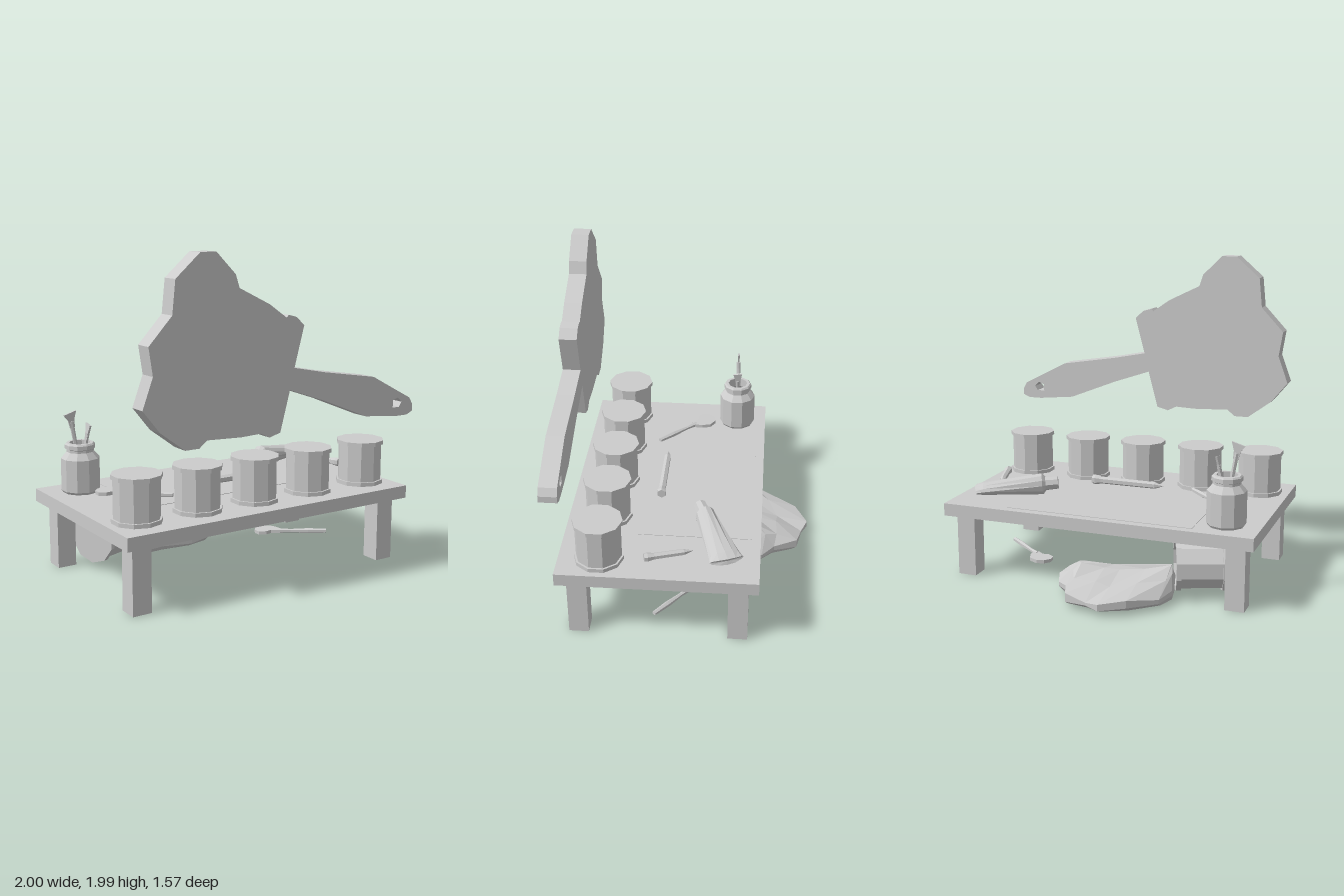
import * as THREE from 'three';

const mat = new THREE.MeshStandardMaterial({ color: 0xcccccc, flatShading: true, side: THREE.DoubleSide });
const V = (x, y, z) => new THREE.Vector3(x, y, z);

function add(parent, name, geo, x = 0, y = 0, z = 0) {
  const m = new THREE.Mesh(geo, mat);
  m.name = name;
  m.position.set(x, y, z);
  parent.add(m);
}

// Group whose local +y runs from one point to another, local +z towards "face"
function aimed(parent, name, from, to, face) {
  const g = new THREE.Group();
  g.name = name;
  const y = to.clone().sub(from).normalize();
  const x = y.clone().cross(face).normalize();
  g.quaternion.setFromRotationMatrix(new THREE.Matrix4().makeBasis(x, y, x.clone().cross(y)));
  g.position.copy(from);
  parent.add(g);
  return g;
}

const lathe = (pts, sides) => new THREE.LatheGeometry(pts.map(p => new THREE.Vector2(...p)), sides);

// Flat outline with thickness, centred in depth
function slab(pts, depth, hole) {
  const s = new THREE.Shape(pts.map(p => new THREE.Vector2(...p)));
  if (hole) s.holes.push(new THREE.Path(hole.map(p => new THREE.Vector2(...p))));
  return new THREE.ExtrudeGeometry(s, { depth, bevelEnabled: false }).translate(0, 0, -depth / 2);
}

// Skin over rings of equal point count, closed by a fan at each end
function loft(rings) {
  const n = rings[0].length, pos = [], idx = [];
  rings.forEach(r => r.forEach(p => pos.push(p.x, p.y, p.z)));
  for (let i = 0; i < rings.length - 1; i++) {
    for (let j = 0; j < n; j++) {
      const a = i * n + j, b = i * n + (j + 1) % n;
      idx.push(a, b, b + n, a, b + n, a + n);
    }
  }
  [rings[0], rings[rings.length - 1]].forEach((r, e) => {
    const c = r.reduce((s, p) => s.add(p), V(0, 0, 0)).divideScalar(n);
    const k = pos.length / 3, o = e * (rings.length - 1) * n;
    pos.push(c.x, c.y, c.z);
    for (let j = 0; j < n; j++) {
      const a = o + j, b = o + (j + 1) % n;
      idx.push(k, e ? a : b, e ? b : a);
    }
  });
  const g = new THREE.BufferGeometry();
  g.setAttribute('position', new THREE.Float32BufferAttribute(pos, 3));
  g.setIndex(idx);
  g.computeVertexNormals();
  return g;
}

// Loose brush with a splayed flat head
function looseBrush(parent, name, from, to) {
  const g = aimed(parent, name, from, to, V(0, 1, 0));
  const head = [[-0.02, 0.17], [-0.055, 0.14], [-0.085, 0.09], [-0.07, 0.03], [-0.03, 0],
    [0.02, 0], [0.055, 0.03], [0.05, 0.08], [0.02, 0.11], [0.02, 0.17]];
  add(g, 'bristles', slab(head, 0.022));
  add(g, 'handle', lathe([[0, 0.15], [0.018, 0.15], [0.012, 0.24], [0.018, 0.36], [0.014, 0.48], [0, 0.48]], 6));
}

// Upright brush with a flared tip
function jarBrush(parent, from, to, face, width) {
  const g = aimed(parent, 'jarBrush', from, to, face);
  const L = from.distanceTo(to);
  add(g, 'handle', new THREE.CylinderGeometry(0.014, 0.01, L - 0.06, 6), 0, (L - 0.06) / 2, 0);
  const head = [[-0.015, L - 0.1], [0.015, L - 0.1], [0.02, L - 0.05], [width / 2, L],
    [-width / 2, L - 0.01], [-0.02, L - 0.05]];
  add(g, 'bristles', slab(head, 0.012));
}

function crayon(parent, from, to, r) {
  const g = aimed(parent, 'crayon', from, to, V(0, 1, 0));
  const L = from.distanceTo(to);
  add(g, 'crayonBody', lathe([[0, 0], [r * 0.75, 0.06], [r * 0.8, L - 0.06], [r * 1.1, L - 0.02], [r, L], [0, L]], 6));
}

export function createModel() {
  const root = new THREE.Group();

  // Table
  const table = new THREE.Group();
  table.name = 'table';
  root.add(table);
  add(table, 'tableTop', new THREE.BoxGeometry(2, 0.08, 1.2), 0, 0.44, 0.13);
  for (const x of [-0.88, 0.88])
    for (const z of [0.61, -0.35]) add(table, 'tableLeg', new THREE.BoxGeometry(0.12, 0.4, 0.12), x, 0.2, z);
  add(root, 'paperSheet', new THREE.BoxGeometry(1.2, 0.004, 0.695), -0.015, 0.481, -0.068);

  // Row of closed paint cans
  const can = lathe([[0, 0], [0.15, 0], [0.15, 0.025], [0.138, 0.025], [0.138, 0.255],
    [0.15, 0.255], [0.15, 0.28], [0, 0.28]], 10);
  for (const x of [-0.805, -0.404, 0, 0.4, 0.82]) add(root, 'paintCan', can, x, 0.48, 0.485);

  // Open can lying under the table
  const fallen = aimed(root, 'fallenCan', V(-0.764, 0.203, -0.174), V(-0.476, 0.203, -0.286), V(0, 1, 0));
  add(fallen, 'openCan', lathe([[0, 0], [0.167, 0], [0.167, 0.03], [0.153, 0.03], [0.153, 0.28], [0.167, 0.28],
    [0.167, 0.31], [0.142, 0.31], [0.142, 0.03], [0, 0.03]], 10));

  // Paint spill: outline rising to a ridge that runs out of the can
  const outline = [[-0.45, -0.17], [-0.25, -0.18], [-0.05, -0.15], [0.1, -0.19], [0.2, -0.3], [0.235, -0.41],
    [0.21, -0.48], [0.13, -0.56], [0.07, -0.71], [-0.07, -0.74], [-0.16, -0.78], [-0.31, -0.7], [-0.46, -0.55], [-0.5, -0.42]];
  const ridge = x => {
    const t = THREE.MathUtils.clamp((x + 0.46) / 0.54, 0, 1);
    return V(-0.46 + 0.54 * t, 0.2 - 0.035 * Math.sin(Math.PI * t), -0.29 - 0.15 * t);
  };
  const ring = (k, f) => outline.map(([x, z], i) => {
    const r = ridge(x), p = V(x, 0, z).lerp(r, k);
    p.y = f(r.y, i);
    return p;
  });
  add(root, 'paintSpill', loft([
    ring(0.12, () => 0.02),
    ring(0, (h, i) => 0.04 + 0.008 * (i % 2)),
    ring(0, (h, i) => 0.065 + 0.015 * (i % 3)),
    ring(0.5, (h, i) => h * (i % 2 ? 0.8 : 0.7)),
    ring(0.93, h => h),
  ]));

  // Jar with brushes
  add(root, 'jar', lathe([[0, 0], [0.11, 0], [0.12, 0.015], [0.12, 0.215], [0.085, 0.255], [0.085, 0.27], [0.094, 0.275],
    [0.094, 0.3], [0.085, 0.31], [0.065, 0.31], [0.065, 0.25], [0.1, 0.21], [0.1, 0.02], [0, 0.02]], 10), -0.785, 0.48, -0.27);
  jarBrush(root, V(-0.77, 0.52, -0.27), V(-0.85, 0.985, -0.27), V(0, 0, 1), 0.085);
  jarBrush(root, V(-0.79, 0.52, -0.27), V(-0.722, 0.9, -0.27), V(1, 0, 0), 0.06);

  // Loose brushes, one on the table and one on the floor
  looseBrush(root, 'tableBrush', V(-0.77, 0.515, -0.09), V(-0.435, 0.52, 0.235));
  looseBrush(root, 'floorBrush', V(0.44, 0.05, -0.13), V(0.82, 0.062, 0.165));

  // Crayons
  crayon(root, V(-0.25, 0.545, 0.17), V(0.24, 0.545, 0.17), 0.03);
  crayon(root, V(0.79, 0.54, -0.075), V(0.878, 0.54, 0.21), 0.026);

  // Paint tube: round shoulder flattening to a wide crimped end
  const tube = aimed(root, 'paintTube', V(0.38, 0.575, -0.085), V(0.875, 0.535, -0.28), V(0, 1, 0));
  add(tube, 'tubeCap', new THREE.CylinderGeometry(0.045, 0.04, 0.1, 8), 0, 0.05, 0);
  const section = (y, w, h, bow = 0) => Array.from({ length: 12 }, (_, i) => {
    const a = i / 12 * Math.PI * 2, c = Math.cos(a);
    return V(c * w, y - bow * c * c, -Math.sin(a) * h);
  });
  add(tube, 'tubeBody', loft([section(0.08, 0.045, 0.045), section(0.1, 0.06, 0.07),
    section(0.48, 0.095, 0.035, 0.01), section(0.535, 0.105, 0.022, 0.02)]));

  // Hanging sign shaped like a big splayed brush, with a hole in the handle
  const sign = [[-0.57, 1.99], [-0.47, 1.99], [-0.345, 1.865], [-0.32, 1.79], [-0.115, 1.69], [0, 1.61],
    [0.015, 1.625], [0.07, 1.61], [0.125, 1.56], [0.06, 1.32], [0.285, 1.275], [0.655, 1.215], [0.835, 1.12],
    [0.95, 1.06], [0.975, 1.015], [0.975, 0.975], [0.93, 0.955], [0.84, 0.955], [0.6, 0.98], [0.275, 1.11],
    [0.03, 1.195], [-0.035, 0.955], [-0.11, 0.935], [-0.17, 0.965], [-0.3, 0.96], [-0.53, 0.97], [-0.58, 0.93],
    [-0.67, 0.93], [-0.825, 1.045], [-0.93, 1.175], [-0.865, 1.35], [-0.89, 1.51], [-0.745, 1.665], [-0.725, 1.855]];
  const hole = [[0.815, 1.055], [0.855, 1.07], [0.885, 1.04], [0.865, 1.01], [0.815, 1.01]];
  add(root, 'brushSign', slab(sign, 0.11, hole), 0, 0, 0.731);

  return root;
}
